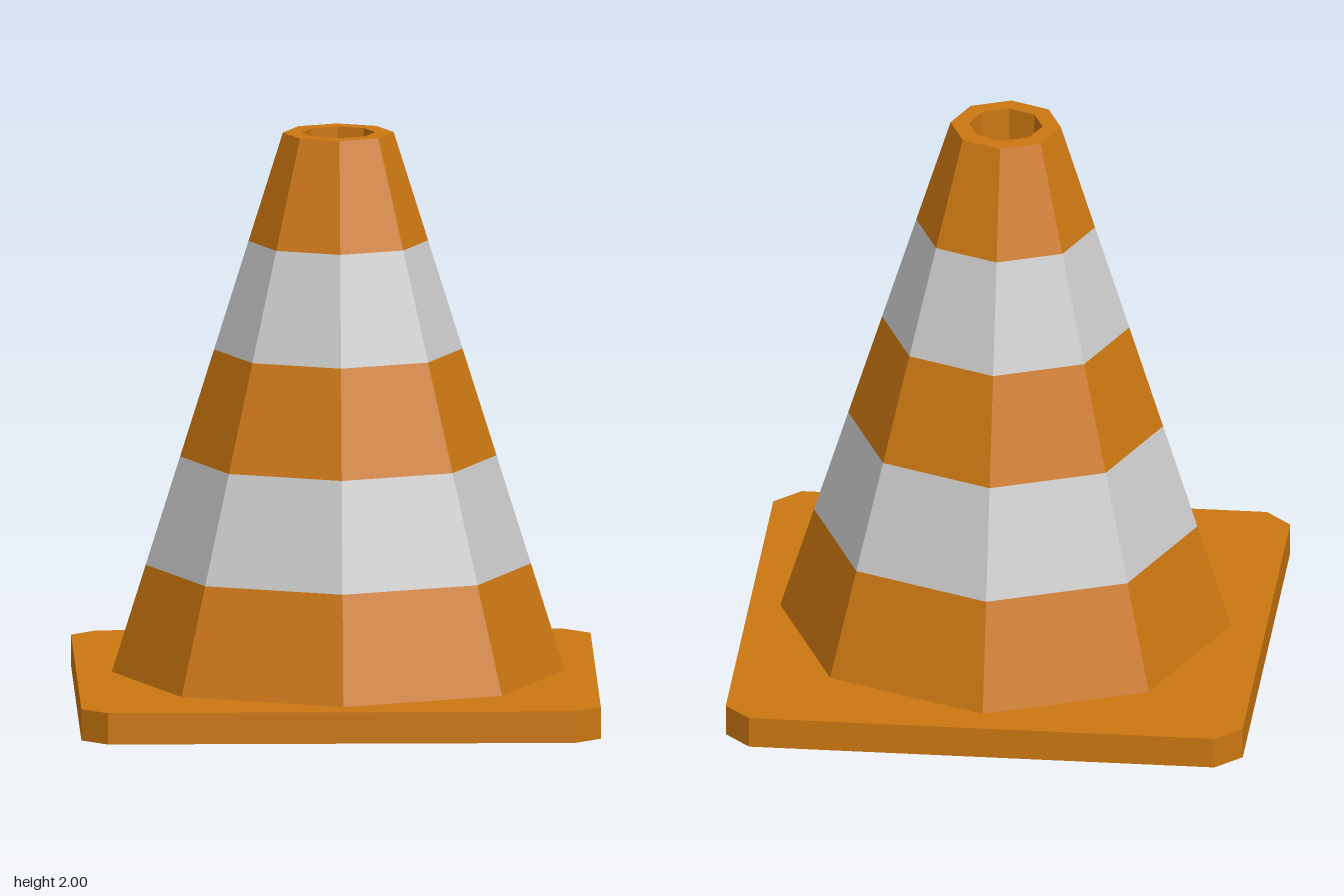
import * as THREE from 'three';

const orange = new THREE.MeshStandardMaterial({ color: 0xcc7711, flatShading: true });
const grey = new THREE.MeshStandardMaterial({ color: 0xcccccc, flatShading: true });

const BASE_TOP = 0.11, TOP = 2, R_BOTTOM = 0.785, R_TOP = 0.192, R_HOLE = 0.128;

// Cone radius at a given height
const radiusAt = (y) =>
  THREE.MathUtils.mapLinear(y, BASE_TOP, TOP, R_BOTTOM, R_TOP);

// Eight-sided ring from [radius, height] pairs
function ring(name, profile, material) {
  const points = profile.map(([r, y]) => new THREE.Vector2(r, y));
  const mesh = new THREE.Mesh(new THREE.LatheGeometry(points, 8), material);
  mesh.name = name;
  return mesh;
}

// Square plate with clipped corners
function createBase() {
  const h = 0.9, c = 0.81;
  const outline = [[h, -c], [h, c], [c, h], [-c, h], [-h, c], [-h, -c], [-c, -h], [c, -h]];
  const shape = new THREE.Shape(outline.map(([x, y]) => new THREE.Vector2(x, y)));
  const geometry = new THREE.ExtrudeGeometry(shape, { depth: BASE_TOP, bevelEnabled: false });
  geometry.rotateX(-Math.PI / 2);
  const mesh = new THREE.Mesh(geometry, orange);
  mesh.name = 'base';
  return mesh;
}

export function createModel() {
  const model = new THREE.Group();
  model.name = 'trafficCone';
  model.add(createBase());

  // Tapered body in alternating orange and reflective bands
  const body = new THREE.Group();
  body.name = 'coneBody';
  body.position.x = 0.008;
  const heights = [BASE_TOP, 0.485, 0.865, 1.24, 1.62, TOP];
  for (let i = 0; i < heights.length - 1; i++) {
    const [y0, y1] = [heights[i], heights[i + 1]];
    const striped = i % 2 === 1;
    body.add(ring(
      striped ? 'reflectiveBand' : 'orangeBand',
      [[radiusAt(y0), y0], [radiusAt(y1), y1]],
      striped ? grey : orange
    ));
  }

  // Flat rim and the straight hole down to the base
  body.add(ring('rimAndHole', [[R_TOP, TOP], [R_HOLE, TOP], [R_HOLE, BASE_TOP]], orange));
  model.add(body);
  return model;
}
